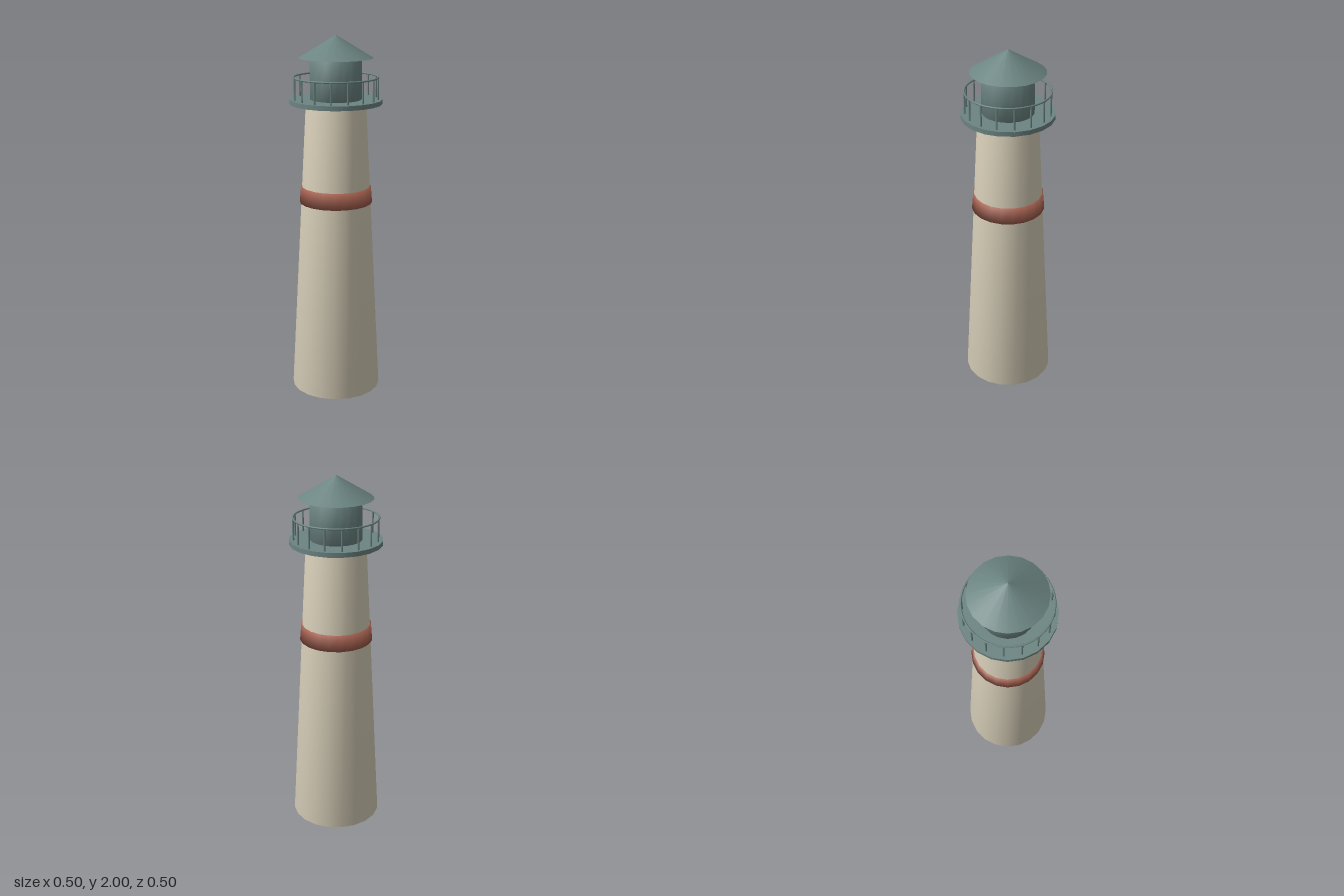
import * as THREE from 'three';
import { mergeVertices } from 'three/addons/utils/BufferGeometryUtils.js';

const SIDES = 20;

function material(name, color) {
  const m = new THREE.MeshStandardMaterial({ color });
  m.name = name;
  return m;
}

// Shares the rim vertices so the shading rolls softly over the edges.
function soften(geometry) {
  geometry.deleteAttribute('normal');
  geometry.deleteAttribute('uv');
  const merged = mergeVertices(geometry, 1e-4);
  merged.computeVertexNormals();
  return merged;
}

export function createModel() {
  const model = new THREE.Group();
  model.name = 'lighthouse';

  const stone = material('cream stone', 0xd8cfb9);
  const red = material('brick red', 0xa4604f);
  const teal = material('grey teal', 0x6c8582);

  function add(name, geometry, mat, parent = model) {
    const mesh = new THREE.Mesh(geometry, mat);
    mesh.name = name;
    parent.add(mesh);
    return mesh;
  }

  // Upright round part given by its bottom and top heights
  function round(name, rTop, rBottom, y0, y1, mat, soft) {
    const g = new THREE.CylinderGeometry(rTop, rBottom, y1 - y0, SIDES);
    g.translate(0, (y0 + y1) / 2, 0);
    return add(name, soft ? soften(g) : g, mat);
  }

  // Tapered tower with its painted band
  round('tower', 0.163, 0.25, 0, 1.64, stone, true);
  round('band', 0.193, 0.201, 1.09, 1.18, red, true);

  // Gallery deck, lantern room and conical roof
  round('galleryDeck', 0.25, 0.25, 1.635, 1.66, teal, false);
  round('lanternRoom', 0.14, 0.14, 1.655, 1.885, teal, true);
  const roof = new THREE.ConeGeometry(0.2, 0.12, SIDES);
  roof.translate(0, 1.94, 0);
  add('roof', roof, teal);

  // Railing: a ring on sixteen thin posts
  const railing = new THREE.Group();
  railing.name = 'railing';
  model.add(railing);
  const railRadius = 0.227;
  const ring = new THREE.TorusGeometry(railRadius, 0.005, 8, 48);
  ring.rotateX(Math.PI / 2);
  ring.translate(0, 1.777, 0);
  add('handrail', ring, teal, railing);

  const post = new THREE.CylinderGeometry(0.005, 0.005, 0.12, 8);
  for (let i = 0; i < 16; i++) {
    const a = (i / 16) * Math.PI * 2;
    add('railPost', post, teal, railing)
      .position.set(Math.sin(a) * railRadius, 1.717, Math.cos(a) * railRadius);
  }

  return model;
}
